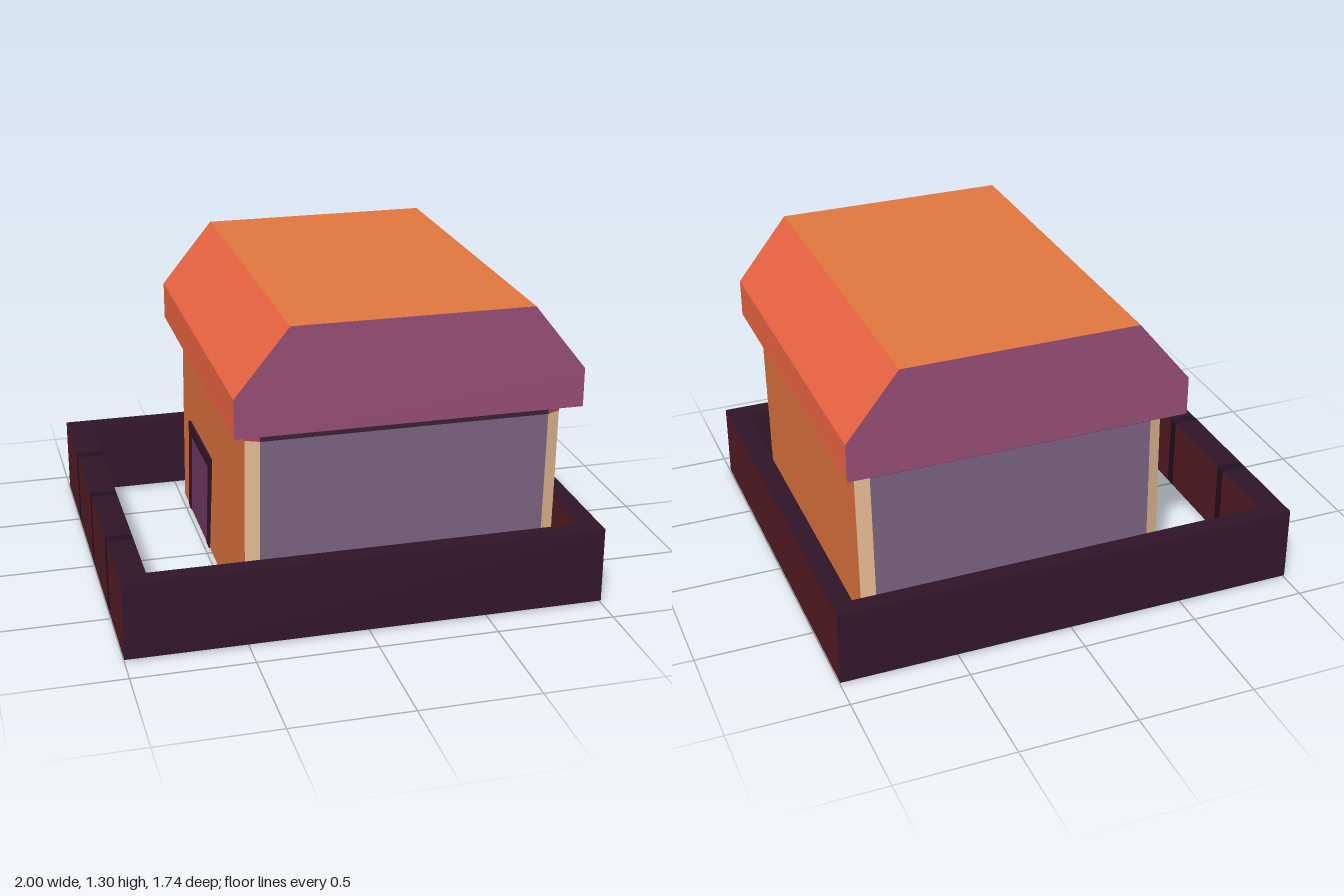
import * as THREE from 'three';

const mat = (color) => new THREE.MeshStandardMaterial({ color, flatShading: true });

// Flat convex polygon, corners counter-clockwise seen from outside
function face(name, pts, color) {
  const pos = [];
  for (let i = 1; i < pts.length - 1; i++) pos.push(...pts[0], ...pts[i], ...pts[i + 1]);
  const g = new THREE.BufferGeometry();
  g.setAttribute('position', new THREE.Float32BufferAttribute(pos, 3));
  g.computeVertexNormals();
  const m = new THREE.Mesh(g, mat(color));
  m.name = name;
  return m;
}

// Side faces between two matching rings; parts = [name, color] per edge
function sides(group, a, b, parts) {
  a.forEach((p, i) => {
    const j = (i + 1) % a.length;
    const [name, color] = parts[i % parts.length];
    group.add(face(name, [p, a[j], b[j], b[i]], color));
  });
}

// Box from its limits; colors for x sides, top, bottom, z sides
function box(name, x0, x1, y0, y1, z0, z1, [side, top, bottom, end]) {
  const m = new THREE.Mesh(
    new THREE.BoxGeometry(x1 - x0, y1 - y0, z1 - z0),
    [side, side, top, bottom, end, end].map(mat));
  m.position.set((x0 + x1) / 2, (y0 + y1) / 2, (z0 + z1) / 2);
  m.name = name;
  return m;
}

// Rectangle with cut corners at height y
function wallRing(y, x0, x1) {
  const z0 = -0.69, z1 = 0.707, cx = 0.057, cz = 0.027;
  return [
    [x1, z1 - cz], [x1, z0 + cz], [x1 - cx, z0], [x0 + cx, z0],
    [x0, z0 + cz], [x0, z1 - cz], [x0 + cx, z1], [x1 - cx, z1],
  ].map(([x, z]) => [x, y, z]);
}

function makeHouse() {
  const g = new THREE.Group();
  g.name = 'house';
  const base = wallRing(0, -0.477, 0.836);
  const mid = wallRing(0.805, -0.467, 0.847);
  const top = wallRing(0.87, -0.466, 0.848);
  const corner = ['cornerPost', 0xe0b68e];
  sides(g, base, mid, [['sideWall', 0xdc723c], corner, ['endWall', 0x7a617f], corner]);
  const bandCorner = ['bandCorner', 0xa84450];
  sides(g, mid, top, [['sideBand', 0x994a72], bandCorner, ['endBand', 0x3a2036], bandCorner]);
  g.add(face('floor', [...base].reverse(), 0xc09068));
  return g;
}

function makeRoof() {
  const g = new THREE.Group();
  g.name = 'roof';
  const profile = [
    [-0.53, 0.857], [0.905, 0.857], [0.905, 1.02],
    [0.685, 1.297], [-0.305, 1.297], [-0.53, 1.02],
  ];
  const back = profile.map(([x, y]) => [x, y, -0.77]);
  const front = profile.map(([x, y]) => [x, y, 0.785]);
  const red = 0xec6542;
  sides(g, back, front, [
    ['soffit', 0x6a3030], ['eave', red], ['roofSlope', red],
    ['roofTop', 0xe0763e], ['roofSlope', red], ['eave', red],
  ]);
  g.add(face('frontGable', front, 0x944c74), face('backGable', back.reverse(), 0x944c74));
  return g;
}

// Slightly leaning door on the -x wall; outlines are in (z, y)
function makeDoor() {
  const g = new THREE.Group();
  g.name = 'door';
  const outline = (inset) => [
    [-0.53 + inset, 0], [-0.05 - inset, 0],
    [0.02 - inset, 0.455 - inset], [-0.48 + inset, 0.445 - inset],
  ].map((p) => new THREE.Vector2(...p));
  const inner = outline(0.055);
  const frame = new THREE.Shape([outline(0)[0], inner[0], inner[3], inner[2], inner[1],
    ...outline(0).slice(1)]);
  const add = (name, shape, depth, color) => {
    const geo = new THREE.ExtrudeGeometry(shape, { depth, bevelEnabled: false });
    const m = new THREE.Mesh(geo.rotateY(-Math.PI / 2), mat(color));
    m.position.x = -0.467;
    m.name = name;
    g.add(m);
  };
  add('doorFrame', frame, 0.015, 0x32162c);
  add('doorPanel', new THREE.Shape(inner), 0.012, 0x703860);
  return g;
}

function makeFence() {
  const g = new THREE.Group();
  g.name = 'fence';
  const y0 = 0.01, y1 = 0.337;
  const colors = [0x521b23, 0x2e1428, 0x3c1820, 0x32162c];
  const dark = [0x220f1a, 0x22101e, 0x3a2038, 0x22101e];
  g.add(box('frontFence', -1, 1, y0, y1, 0.79, 0.87, colors));
  g.add(box('backFence', -1, 1, y0, y1, -0.87, -0.797, colors));
  g.add(box('rightFence', 0.915, 1, y0, y1, -0.797, 0.79, colors));
  // Left run: four panels split by dark dividers
  const dividers = [-0.455, -0.003, 0.449];
  const w = 0.023;
  let z = -0.797;
  for (const d of dividers) {
    g.add(box('leftFencePanel', -1, -0.89, y0, y1, z, d - w, colors));
    g.add(box('fenceDivider', -1, -0.89, y0, y1, d - w, d + w, dark));
    z = d + w;
  }
  g.add(box('leftFencePanel', -1, -0.89, y0, y1, z, 0.79, colors));
  return g;
}

export function createModel() {
  const model = new THREE.Group();
  model.name = 'fencedHouse';
  model.add(makeHouse(), makeRoof(), makeDoor(), makeFence());
  return model;
}
